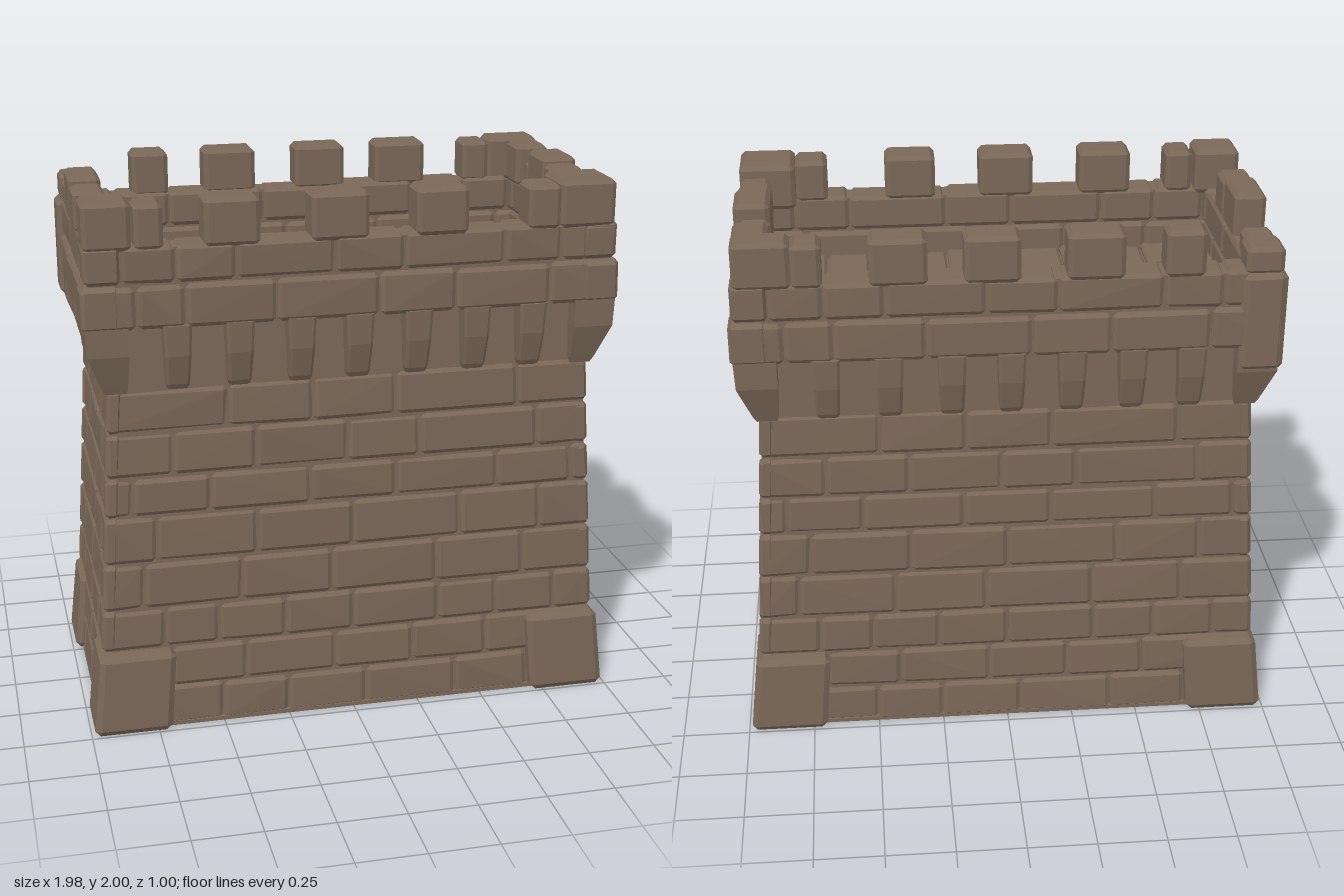
import * as THREE from 'three';
import { mergeGeometries } from 'three/addons/utils/BufferGeometryUtils.js';
import { ConvexGeometry } from 'three/addons/geometries/ConvexGeometry.js';

let seed = 7;
const rnd = () => (seed = (seed * 16807) % 2147483647) / 2147483647;
const V = (x, y, z) => new THREE.Vector3(x, y, z);
const straight = (x, y, z) => V(x, y, z);

// Chamfered stone: a bevelled box in (u, v, d) space, placed by a mapping function
function block(map, u0, u1, v0, v1, d0, d1, b = 0.016, wobble = 0) {
  const pts = [];
  for (const i of [0, 1]) for (const j of [0, 1]) for (const k of [0, 1]) {
    const u = i ? u1 : u0, v = j ? v1 : v0, d = (k ? d1 : d0) - (k ? wobble * rnd() : 0);
    const bu = i ? -b : b, bv = j ? -b : b, bd = k ? -b * 0.7 : b * 0.7;
    pts.push(map(u, v + bv, d + bd), map(u + bu, v, d + bd), map(u + bu, v + bv, d));
  }
  return new ConvexGeometry(pts);
}

// Plain solid through horizontal rectangles [y, x0, x1, z0, z1]
function hull(...rects) {
  const pts = [];
  for (const [y, x0, x1, z0, z1] of rects) {
    pts.push(V(x0, y, z0), V(x1, y, z0), V(x1, y, z1), V(x0, y, z1));
  }
  return new ConvexGeometry(pts);
}

// The four sides: u runs along the side, d points outward from its surface
function sides(hx, hz, vm) {
  const sx = (u, v) => u * hx(v) / hx(vm), sz = (u, v) => u * hz(v) / hz(vm);
  return [
    { wide: true, half: hx(vm), map: (u, v, d) => V(sx(u, v), v, hz(v) + d) },
    { wide: false, half: hz(vm), map: (u, v, d) => V(hx(v) + d, v, -sz(u, v)) },
    { wide: true, half: hx(vm), map: (u, v, d) => V(-sx(u, v), v, -hz(v) - d) },
    { wide: false, half: hz(vm), map: (u, v, d) => V(-hx(v) - d, v, sz(u, v)) },
  ];
}

// One course of stones on all four sides, split at the given joints
function course(out, hx, hz, v0, v1, wideCuts, narrowCuts, depth) {
  for (const { wide, half, map } of sides(hx, hz, (v0 + v1) / 2)) {
    const cuts = [-half, ...(wide ? wideCuts : narrowCuts), half];
    for (let i = 0; i < cuts.length - 1; i++) {
      const a = i ? 0.003 : 0, c = i < cuts.length - 2 ? 0.003 : 0;
      const sag = c ? 0.008 * rnd() : 0;
      block(map, 0, 1, 0, 1, 0, 1);
      out.push(block(map, cuts[i] + a, cuts[i + 1] - c, v0 + 0.002, v1 - 0.002 - sag, -depth, 0, 0.015, 0.009));
    }
  }
}

export function createModel() {
  const group = new THREE.Group();
  const stone = new THREE.MeshStandardMaterial({ color: 0x7b6858 });
  stone.name = 'brown stone';
  const add = (name, geos) => {
    const mesh = new THREE.Mesh(mergeGeometries(geos), stone);
    mesh.name = name;
    group.add(mesh);
  };

  // Sloping wall: inner core and eight courses
  const hx = v => 0.965 - 0.06 * v, hz = v => 0.462 - 0.02 * v;
  const ring = (y, s) => [y, -hx(y) + s, hx(y) - s, -hz(y) + s, hz(y) - s];
  add('wallCore', [
    hull(ring(0, 0.018), ring(1.3, 0.018), ring(1.57, 0.012)),
    hull([0, -0.96, 0.96, -0.46, 0.46], [0.015, -0.96, 0.96, -0.46, 0.46]),
  ]);
  const rows = [
    [0, 0.16, [-0.5, -0.25, 0.05, 0.4, 0.69], [-0.2, 0.06, 0.22]],
    [0.16, 0.32, [-0.69, -0.41, -0.07, 0.23, 0.52], [-0.23, 0.03, 0.25]],
    [0.32, 0.48, [-0.71, -0.51, -0.26, 0, 0.33, 0.56, 0.79], [-0.26, 0, 0.25]],
    [0.48, 0.66, [-0.78, -0.42, -0.08, 0.32, 0.66], [-0.26, 0.01, 0.26]],
    [0.66, 0.84, [-0.73, -0.36, 0, 0.41, 0.72], [-0.3, -0.1, 0.1, 0.31]],
    [0.84, 0.99, [-0.81, -0.53, -0.16, 0.16, 0.55, 0.84], [-0.28, 0.08, 0.29]],
    [0.99, 1.155, [-0.66, -0.36, -0.02, 0.25, 0.7], [-0.17, 0.08, 0.26]],
    [1.155, 1.32, [-0.46, -0.15, 0.16, 0.62], [-0.23, 0, 0.22]],
  ];
  const wall = [];
  for (const [v0, v1, w, n] of rows) course(wall, hx, hz, v0, v1, w, n, 0.05);
  add('wallStones', wall);

  // Big footing stones at the corners
  const footing = [], cornerCorbels = [];
  for (const sx of [-1, 1]) for (const sz of [-1, 1]) {
    const lean = (x, y, z) => V(sx * x * (1 - 0.11 * y), y, sz * z * (1 - 0.06 * y));
    footing.push(block(lean, 0.7, 0.99, 0, 0.315, 0.26, 0.5, 0.022));
    // Flared brackets under the parapet corners
    const box = (y, x0, x1, z0, z1) => {
      const xs = [sx * x0, sx * x1].sort((a, b) => a - b), zs = [sz * z0, sz * z1].sort((a, b) => a - b);
      return [y, ...xs, ...zs];
    };
    cornerCorbels.push(hull(
      box(1.31, 0.82, 0.893, 0.31, 0.443), box(1.33, 0.815, 0.905, 0.3, 0.45),
      box(1.46, 0.81, 0.955, 0.29, 0.494), box(1.56, 0.81, 0.96, 0.29, 0.494)));
  }
  add('cornerFootings', footing);
  add('cornerCorbels', cornerCorbels);

  // Row of small corbels along every side
  const corbels = [];
  for (const { wide, map } of sides(() => 0.87, () => 0.42, 0)) {
    for (const u of wide ? [-0.64, -0.42, -0.2, 0.01, 0.225, 0.44, 0.65] : [-0.125, 0.125]) {
      const pts = [];
      for (const [v, d, w] of [[1.32, 0.035, 0.036], [1.34, 0.047, 0.042], [1.45, 0.075, 0.046], [1.56, 0.08, 0.05]]) {
        for (const s of [-1, 1]) pts.push(map(u + s * w, v, -0.02), map(u + s * w, v, d - 0.008), map(u + s * (w - 0.01), v, d));
      }
      corbels.push(new ConvexGeometry(pts));
    }
  }
  add('corbels', corbels);

  // Parapet: two full-thickness courses around a thin core
  const parapet = [];
  course(parapet, () => 0.97, () => 0.5, 1.55, 1.71,
    [-0.78, -0.61, -0.29, 0.08, 0.36, 0.71], [-0.31, -0.07, 0.2], 0.13);
  course(parapet, () => 0.957, () => 0.494, 1.71, 1.85,
    [-0.83, -0.64, -0.43, -0.08, 0.17, 0.54, 0.75, 0.85], [-0.35, -0.02, 0.32], 0.125);
  for (const { half, map } of sides(() => 0.94, () => 0.478, 0)) {
    parapet.push(block(map, -half, half, 1.555, 1.838, -0.09, 0, 0.004));
  }
  // Single large repair stone at the back corner
  parapet.push(block(straight, -0.972, -0.81, 1.46, 1.84, -0.503, -0.35, 0.025));
  add('parapet', parapet);

  // Merlons [x0, x1, z0, z1, top]
  const F = [0.365, 0.497], B = [-0.497, -0.375];
  const merlons = [
    [-0.957, -0.79, 0.34, 0.497, 2], [-0.78, -0.68, ...F, 1.99], [-0.54, -0.345, ...F, 2],
    [-0.165, 0.04, ...F, 2], [0.21, 0.4, ...F, 2], [0.62, 0.74, ...F, 1.99], [0.74, 0.945, 0.29, 0.497, 2],
    [-0.955, -0.82, -0.495, -0.37, 1.93], [-0.68, -0.54, ...B, 2], [-0.4, -0.2, ...B, 2],
    [-0.04, 0.155, ...B, 2], [0.28, 0.48, ...B, 2], [0.64, 0.745, ...B, 1.99], [0.745, 0.945, -0.497, -0.38, 2],
    [0.82, 0.945, -0.38, -0.245, 1.99], [0.82, 0.95, -0.115, 0.065, 2], [0.82, 0.94, 0.065, 0.175, 1.98],
    [0.82, 0.93, -0.16, -0.115, 1.95], [0.83, 0.94, 0.2, 0.29, 1.96],
    [-0.955, -0.84, -0.16, 0.04, 2], [-0.955, -0.84, 0.05, 0.19, 1.98], [-0.95, -0.84, -0.37, -0.26, 1.92],
  ];
  add('merlons', merlons.map(([x0, x1, z0, z1, top]) => block(straight, x0, x1, 1.83, top, z0, z1, 0.016)));

  // Roof deck: slab and irregular paving, in columns [x0, x1, z joints]
  const deck = [hull([1.553, -0.95, 0.95, -0.48, 0.48], [1.595, -0.95, 0.95, -0.48, 0.48])];
  const columns = [
    [-0.86, -0.59, [-0.27, -0.12, 0.2]], [-0.59, -0.43, [-0.28, 0.13]], [-0.43, -0.27, [-0.22, -0.07, 0.3]],
    [-0.27, -0.1, [-0.15, -0.03, 0.12]], [-0.1, 0.03, [-0.17, 0.13]], [0.03, 0.17, [-0.34, -0.17, -0.02]],
    [0.17, 0.33, [-0.16, -0.01, 0.13]], [0.33, 0.47, [-0.16, 0.1]], [0.47, 0.63, [-0.15, -0.02, 0.14]],
    [0.63, 0.84, [-0.26, -0.02]],
  ];
  for (const [x0, x1, joints] of columns) {
    const z = [-0.39, ...joints, 0.39];
    for (let i = 0; i < z.length - 1; i++) {
      deck.push(block(straight, x0 + 0.003, x1 - 0.003, 1.57, 1.606 + 0.012 * rnd(), z[i] + 0.003, z[i + 1] - 0.003, 0.01));
    }
  }
  add('roofDeck', deck);
  return group;
}
